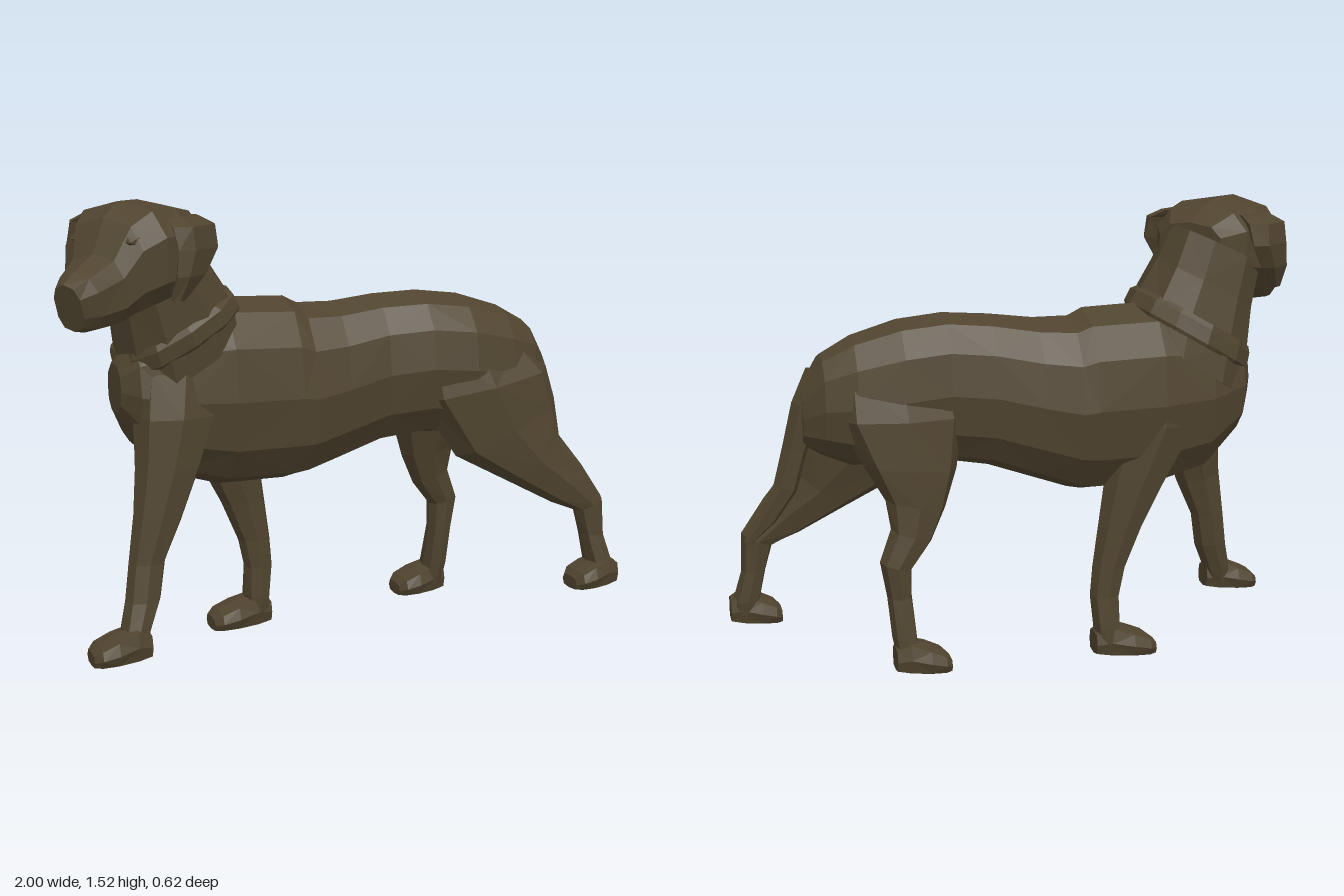
import * as THREE from 'three';

const coat = new THREE.MeshStandardMaterial({ color: 0x50442f, flatShading: true });
coat.name = 'dark brown coat';

// small repeatable variation that gives the facets a hand-cut look
const wobble = (i, j) => 1 + 0.035 * Math.sin(i * 12.9 + j * 7.3);

// Skin over oval rings [x, y, z, half size in the xy plane, half size in z, tilt in degrees];
// a lower roundness gives boxier rings
function loft(name, rings, sides = 8, roundness = 0.85) {
  const soft = (v) => Math.sign(v) * Math.abs(v) ** roundness;
  const pos = [], idx = [];
  rings.forEach(([x, y, z, a, b, tilt = 0], i) => {
    const t = THREE.MathUtils.degToRad(tilt);
    for (let j = 0; j < sides; j++) {
      const p = (j / sides) * Math.PI * 2;
      const u = a * soft(Math.cos(p)) * wobble(i, j), w = b * soft(Math.sin(p)) * wobble(j, i);
      pos.push(x + u * Math.cos(t), y + u * Math.sin(t), z + w);
    }
  });
  const first = rings[0], last = rings[rings.length - 1], m = THREE.MathUtils.degToRad(first[5] || 0);
  const flip = (last[0] - first[0]) * Math.sin(m) - (last[1] - first[1]) * Math.cos(m) < 0;
  const tri = (a, b, c) => (flip ? idx.push(a, c, b) : idx.push(a, b, c));
  for (let i = 0; i < rings.length - 1; i++) {
    for (let j = 0; j < sides; j++) {
      const k = (j + 1) % sides, a = i * sides + j, b = i * sides + k;
      if ((i + j) % 2) { tri(a, b, b + sides); tri(a, b + sides, a + sides); }
      else { tri(a, b, a + sides); tri(b, b + sides, a + sides); }
    }
  }
  // end caps
  const n = rings.length * sides, e = n - sides;
  pos.push(...first.slice(0, 3), ...last.slice(0, 3));
  for (let j = 0; j < sides; j++) {
    const k = (j + 1) % sides;
    tri(n, k, j);
    tri(n + 1, e + j, e + k);
  }
  const g = new THREE.BufferGeometry();
  g.setAttribute('position', new THREE.Float32BufferAttribute(pos, 3));
  g.setIndex(idx);
  g.computeVertexNormals();
  const mesh = new THREE.Mesh(g, coat);
  mesh.name = name;
  return mesh;
}

// Upright rings given as [x, top, bottom, z, half width]
const upright = (list) => list.map(([x, top, bottom, z, w]) => [x, (top + bottom) / 2, z, (top - bottom) / 2, w, 90]);

// Wedge-shaped paw pointing to -x
function paw(name, heel, toe, y, z) {
  const at = (f) => heel + (toe - heel) * f;
  return loft(name, upright([
    [at(0), y + 0.09, y + 0.01, z, 0.045],
    [at(0.25), y + 0.115, y, z, 0.06],
    [at(0.6), y + 0.09, y, z, 0.078],
    [at(0.88), y + 0.065, y, z, 0.075],
    [at(1), y + 0.045, y, z, 0.05],
  ]), 8, 0.6);
}

function buildHead() {
  const head = new THREE.Group();
  head.name = 'head';
  head.position.set(-0.67, 0, 0.04);
  head.rotation.y = THREE.MathUtils.degToRad(38);
  // broad skull running into the muzzle
  head.add(loft('skullAndMuzzle', [
    [0.16, 1.37, 0, 0.08, 0.12, 90],
    [0.08, 1.365, 0, 0.135, 0.18, 90],
    [-0.02, 1.36, 0, 0.158, 0.21, 90],
    [-0.12, 1.35, 0, 0.168, 0.195, 90],
    [-0.185, 1.32, 0, 0.155, 0.155, 92],
    [-0.235, 1.26, 0, 0.112, 0.115, 95],
    [-0.32, 1.235, 0, 0.093, 0.082, 104],
    [-0.37, 1.225, 0, 0.075, 0.05, 108],
  ], 10, 0.75));
  for (const s of [1, -1]) {
    // folded ear lying against the skull
    head.add(loft(s > 0 ? 'leftEar' : 'rightEar', [
      [0.0, 1.475, s * 0.15, 0.08, 0.04],
      [0.0, 1.45, s * 0.195, 0.105, 0.045],
      [0.0, 1.38, s * 0.215, 0.105, 0.035],
      [-0.04, 1.3, s * 0.212, 0.075, 0.03],
      [-0.08, 1.225, s * 0.19, 0.025, 0.02],
    ], 6));
    // brow ridge
    const brow = new THREE.Mesh(new THREE.IcosahedronGeometry(0.04, 0), coat);
    brow.name = 'brow';
    brow.scale.set(0.9, 0.7, 1.1);
    brow.position.set(-0.18, 1.41, s * 0.09);
    head.add(brow);
  }
  return head;
}

export function createModel() {
  const dog = new THREE.Group();
  dog.name = 'dog';

  dog.add(loft('torso', upright([
    [-0.76, 1.0, 0.84, 0.0, 0.08],
    [-0.71, 1.08, 0.74, -0.02, 0.16],
    [-0.58, 1.15, 0.62, -0.04, 0.21],
    [-0.4, 1.18, 0.57, -0.045, 0.225],
    [-0.17, 1.17, 0.57, -0.05, 0.22],
    [-0.12, 1.145, 0.58, -0.05, 0.21],
    [0, 1.145, 0.62, -0.045, 0.185],
    [0.15, 1.165, 0.67, -0.04, 0.168],
    [0.3, 1.175, 0.69, -0.02, 0.18],
    [0.45, 1.16, 0.68, -0.01, 0.195],
    [0.6, 1.115, 0.68, 0.0, 0.17],
    [0.7, 1.06, 0.72, 0.0, 0.13],
    [0.765, 0.95, 0.76, 0.0, 0.07],
  ]), 12));

  // thick neck with a collar band around its base
  dog.add(loft('neck', [
    [-0.655, 1.37, 0.01, 0.165, 0.17, 25],
    [-0.61, 1.24, -0.005, 0.18, 0.185, 28],
    [-0.56, 1.1, -0.025, 0.215, 0.205, 30],
    [-0.53, 0.98, -0.04, 0.22, 0.215, 32],
  ], 10));
  dog.add(loft('collar', [
    [-0.57, 1.13, -0.025, 0.205, 0.2, 30],
    [-0.562, 1.115, -0.025, 0.218, 0.213, 30],
    [-0.545, 1.07, -0.03, 0.225, 0.22, 30],
    [-0.54, 1.06, -0.03, 0.215, 0.21, 30],
  ], 12));
  dog.add(buildHead());

  dog.add(loft('tail', [
    [0.69, 0.99, -0.005, 0.06, 0.06, 25],
    [0.745, 0.89, -0.005, 0.05, 0.055, 15],
    [0.785, 0.75, 0.0, 0.042, 0.048, 10],
    [0.82, 0.62, 0.0, 0.04, 0.042, 20],
    [0.88, 0.52, 0.01, 0.032, 0.034, 35],
    [0.95, 0.435, 0.015, 0.012, 0.016, 40],
  ], 6));

  dog.add(loft('leftHindLeg', [
    [0.46, 1.0, 0.05, 0.2, 0.1],
    [0.51, 0.86, 0.08, 0.25, 0.11, 10],
    [0.59, 0.7, 0.1, 0.21, 0.09, 25],
    [0.7, 0.58, 0.125, 0.12, 0.072, 40],
    [0.82, 0.485, 0.14, 0.085, 0.057, 48],
    [0.905, 0.41, 0.145, 0.055, 0.05, 25],
    [0.92, 0.3, 0.15, 0.04, 0.047],
    [0.945, 0.2, 0.16, 0.047, 0.06, -10],
    [0.95, 0.15, 0.165, 0.04, 0.06],
  ]));
  dog.add(paw('leftHindPaw', 1.0, 0.83, 0.11, 0.17));

  dog.add(loft('rightHindLeg', [
    [0.46, 1.0, -0.07, 0.2, 0.1],
    [0.45, 0.86, -0.11, 0.21, 0.11],
    [0.43, 0.7, -0.145, 0.155, 0.09, 5],
    [0.42, 0.58, -0.165, 0.1, 0.072, 10],
    [0.44, 0.48, -0.18, 0.07, 0.06, 20],
    [0.495, 0.385, -0.19, 0.053, 0.053, 15],
    [0.485, 0.28, -0.19, 0.04, 0.048],
    [0.475, 0.15, -0.21, 0.04, 0.057],
    [0.465, 0.07, -0.225, 0.035, 0.06],
  ]));
  dog.add(paw('rightHindPaw', 0.51, 0.33, 0.03, -0.23));

  dog.add(loft('leftFrontLeg', [
    [-0.57, 0.98, 0.06, 0.14, 0.1],
    [-0.59, 0.84, 0.09, 0.14, 0.1],
    [-0.625, 0.68, 0.115, 0.11, 0.08],
    [-0.67, 0.52, 0.135, 0.08, 0.062, -12],
    [-0.71, 0.38, 0.145, 0.06, 0.053],
    [-0.73, 0.26, 0.16, 0.058, 0.053],
    [-0.76, 0.17, 0.18, 0.048, 0.057],
    [-0.77, 0.12, 0.19, 0.04, 0.06],
  ]));
  dog.add(paw('leftFrontPaw', -0.72, -0.91, 0.075, 0.195));

  dog.add(loft('rightFrontLeg', [
    [-0.42, 0.95, -0.14, 0.15, 0.11],
    [-0.4, 0.8, -0.16, 0.15, 0.1],
    [-0.33, 0.62, -0.17, 0.11, 0.08],
    [-0.275, 0.46, -0.175, 0.078, 0.062],
    [-0.235, 0.32, -0.175, 0.057, 0.053],
    [-0.22, 0.22, -0.175, 0.05, 0.05],
    [-0.225, 0.12, -0.18, 0.045, 0.058],
    [-0.225, 0.06, -0.185, 0.04, 0.06],
  ]));
  dog.add(paw('rightFrontPaw', -0.18, -0.39, 0.005, -0.185));

  return dog;
}
